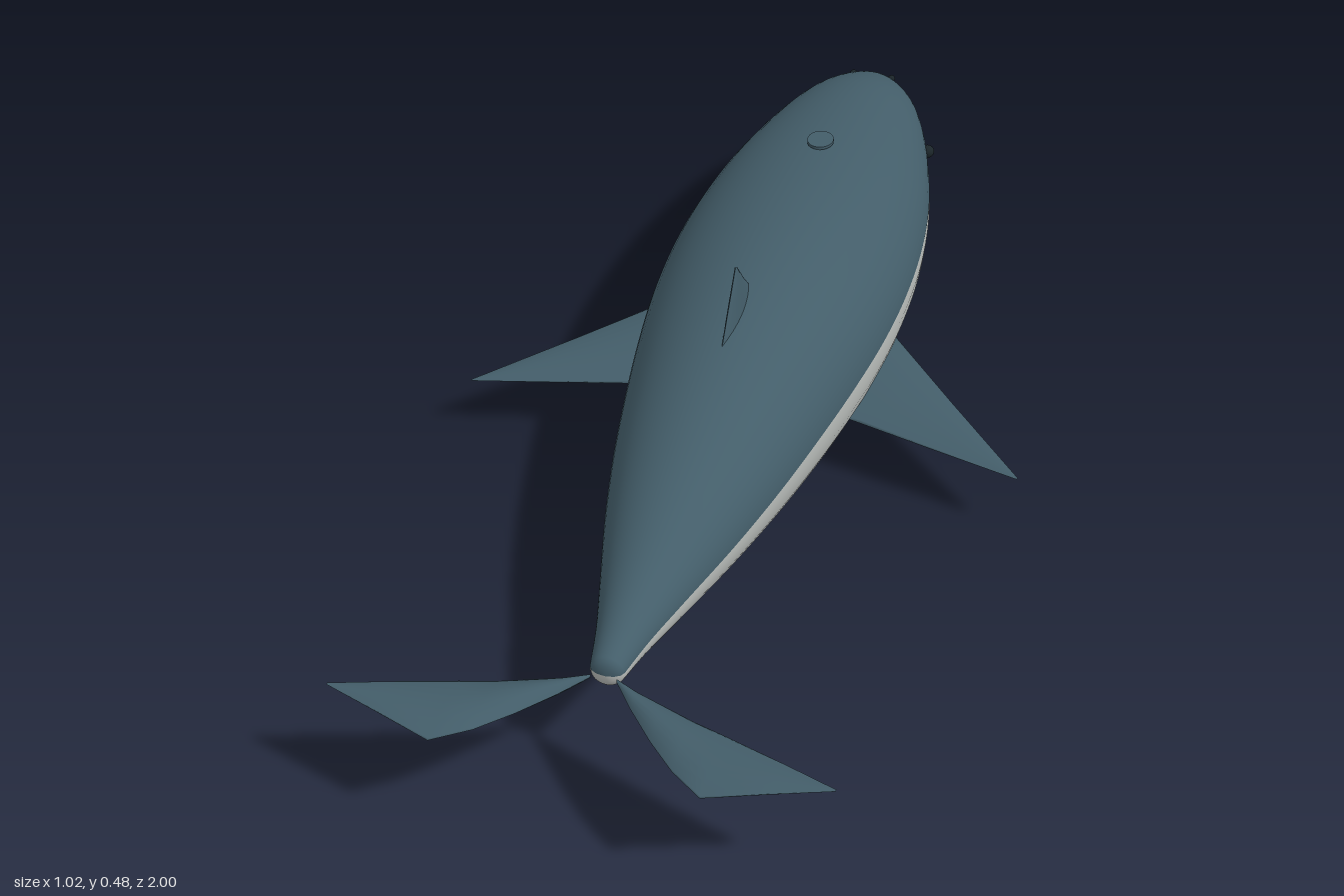
import * as THREE from 'three';

const V = (x, y, z) => new THREE.Vector3(x, y, z);
const mat = (name, color, extra = {}) => {
  const m = new THREE.MeshStandardMaterial({ color, ...extra });
  m.name = name;
  return m;
};

// Stations from snout to tail: z, half width, top y, belly y
const STATIONS = [
  [-1.0, 0.004, 0.236, 0.226], [-0.975, 0.042, 0.262, 0.199], [-0.92, 0.09, 0.293, 0.166],
  [-0.85, 0.128, 0.319, 0.13], [-0.75, 0.165, 0.338, 0.094], [-0.6, 0.204, 0.358, 0.05],
  [-0.45, 0.225, 0.374, 0.018], [-0.3, 0.23, 0.386, 0.003], [-0.15, 0.222, 0.39, 0.001],
  [0.0, 0.203, 0.384, 0.01], [0.15, 0.178, 0.367, 0.031], [0.3, 0.149, 0.344, 0.06],
  [0.45, 0.114, 0.313, 0.093], [0.6, 0.073, 0.273, 0.129], [0.7, 0.046, 0.247, 0.155],
  [0.78, 0.029, 0.23, 0.173],
];
const heights = new THREE.CatmullRomCurve3(STATIONS.map(s => V(s[2], s[3], s[0])), false, 'catmullrom');
const widths = new THREE.CatmullRomCurve3(STATIONS.map(s => V(s[1], 0, s[0])), false, 'catmullrom');

function section(t) {
  const h = heights.getPoint(t);
  return { z: h.z, w: widths.getPoint(t).x, cy: (h.x + h.y) / 2, h: (h.x - h.y) / 2 };
}
function sectionAt(z) {
  let a = 0, b = 1;
  for (let i = 0; i < 30; i++) {
    const m = (a + b) / 2;
    if (heights.getPoint(m).z < z) a = m; else b = m;
  }
  return section(a);
}
// Half width of the body surface at a height
function surfaceX(y, z) {
  const s = sectionAt(z), k = (y - s.cy) / s.h;
  return s.w * Math.sqrt(Math.max(0, 1 - k * k));
}

// Skin over closed rings; columns before 'split' form group 0, the rest group 1
function loft(rings, split = rings[0].length, flip = false) {
  const n = rings[0].length, index = [[], []];
  const tri = (g, a, b, c) => index[g].push(...(flip ? [a, c, b] : [a, b, c]));
  for (let j = 0; j < n; j++) {
    const k = (j + 1) % n, g = j < split ? 0 : 1;
    for (let i = 0; i < rings.length - 1; i++) {
      const a = i * n + j, b = i * n + k;
      tri(g, a, b, a + n);
      tri(g, a + n, b, b + n);
    }
  }
  const geo = new THREE.BufferGeometry().setFromPoints(rings.flat());
  geo.setIndex([...index[0], ...index[1]]);
  geo.addGroup(0, index[0].length, 0);
  if (index[1].length) geo.addGroup(index[0].length, index[1].length, 1);
  geo.computeVertexNormals();
  return geo;
}

// Body: the back and belly meet along a side line
function bodyGeometry() {
  const HALF = 24, STEPS = 90, rings = [];
  const ring = (s, scale, z) => {
    const seamY = THREE.MathUtils.lerp(0.224, 0.204, (s.z + 1) / 1.78);
    const a0 = Math.asin(THREE.MathUtils.clamp((seamY - s.cy) / s.h, -0.5, 0.5));
    const pts = [];
    for (let j = 0; j < HALF * 2; j++) {
      const a = j < HALF ? a0 + (Math.PI - 2 * a0) * j / HALF
        : Math.PI - a0 + (Math.PI + 2 * a0) * (j - HALF) / HALF;
      pts.push(V(s.w * scale * Math.cos(a), s.cy + s.h * scale * Math.sin(a), z));
    }
    return pts;
  };
  rings.push(ring(section(0), 0.001, -1.0));
  for (let i = 0; i <= STEPS; i++) {
    const s = section(i / STEPS);
    rings.push(ring(s, 1, s.z));
  }
  const end = section(1);
  rings.push(ring(end, 0.85, 0.787), ring(end, 0.5, 0.792), ring(end, 0.001, 0.793));
  return loft(rings, HALF);
}

// Fin: lens sections given as [leading point, trailing point, half thickness]
function finGeometry(sections, normal, side = 1) {
  const N = 20;
  const rings = sections.map(([lead, trail, t]) => Array.from({ length: N }, (_, j) => {
    const a = j / N * Math.PI * 2, s = Math.sin(a);
    const p = trail.clone().lerp(lead, (1 + Math.cos(a)) / 2).addScaledVector(normal, t * s * Math.abs(s));
    p.x *= side;
    return p;
  }));
  return loft(rings, N, side < 0);
}

export function createModel() {
  const group = new THREE.Group();
  group.name = 'whale';
  const back = mat('slate back', 0x435d69);
  const belly = mat('pale belly', 0xb6bab7);
  const dark = mat('dark detail', 0x1b2529);
  const add = (name, geo, material) => {
    const mesh = new THREE.Mesh(geo, material);
    mesh.name = name;
    group.add(mesh);
    return mesh;
  };

  add('body', bodyGeometry(), [back, belly]);

  // Dorsal fin
  add('dorsalFin', finGeometry([
    [V(0, 0.355, -0.058), V(0, 0.355, 0.148), 0.013],
    [V(0, 0.42, 0.001), V(0, 0.42, 0.096), 0.008],
    [V(0, 0.477, 0.047), V(0, 0.477, 0.052), 0.002],
  ], V(-1, 0, 0)), back);

  // Blowhole
  const hole = add('blowhole', new THREE.CylinderGeometry(0.025, 0.025, 0.006, 24), back);
  hole.scale.z = 1.15;
  hole.position.set(0, 0.373, -0.53);

  const up = V(0, 1, 0);
  for (const [label, side] of [['left', 1], ['right', -1]]) {
    // Pectoral fin
    add(label + 'PectoralFin', finGeometry([
      [V(0.15, 0.142, -0.342), V(0.15, 0.122, -0.038), 0.015],
      [V(0.21, 0.14, -0.277), V(0.21, 0.12, -0.025), 0.015],
      [V(0.36, 0.125, -0.12), V(0.36, 0.115, 0.008), 0.009],
      [V(0.512, 0.111, 0.036), V(0.512, 0.111, 0.041), 0.001],
    ], up, side), back);

    // Tail fluke
    add(label + 'Fluke', finGeometry([
      [V(0.02, 0.2, 0.793), V(0.022, 0.2, 0.8), 0.003],
      [V(0.06, 0.198, 0.81), V(0.06, 0.198, 0.848), 0.011],
      [V(0.11, 0.197, 0.827), V(0.11, 0.197, 0.905), 0.016],
      [V(0.16, 0.197, 0.845), V(0.16, 0.197, 0.955), 0.016],
      [V(0.217, 0.2, 0.864), V(0.217, 0.2, 0.998), 0.011],
      [V(0.32, 0.204, 0.899), V(0.32, 0.204, 0.964), 0.006],
      [V(0.41, 0.206, 0.93), V(0.41, 0.206, 0.934), 0.001],
    ], up, side), back);

    // Eye
    const eye = add(label + 'Eye', new THREE.SphereGeometry(0.013, 16, 12), dark);
    eye.position.set(side * (surfaceX(0.231, -0.762) + 0.002), 0.231, -0.762);

    // Nostril
    const nostril = add(label + 'Nostril', new THREE.SphereGeometry(0.007, 12, 8), dark);
    nostril.position.set(side * 0.04, 0.262, -0.96);

    // Mouth line following the head
    const lips = [];
    for (let i = 0; i <= 8; i++) {
      const u = i / 8, y = 0.185 + 0.025 * u, z = -0.74 - 0.18 * u;
      lips.push(V(side * (surfaceX(y, z) + 0.001), y, z));
    }
    add(label + 'MouthLine', new THREE.TubeGeometry(new THREE.CatmullRomCurve3(lips), 24, 0.004, 6), dark);

    // Throat pleats
    for (let i = 0; i < 6; i++) {
      const x = side * (0.015 + 0.03 * i);
      const pleat = new THREE.QuadraticBezierCurve3(V(x * 0.86, 0.076, -0.74), V(x, 0.032, -0.6), V(x, 0.014, -0.43));
      add(label + 'ThroatPleat', new THREE.TubeGeometry(pleat, 16, 0.0013, 5), dark);
    }
  }
  return group;
}
